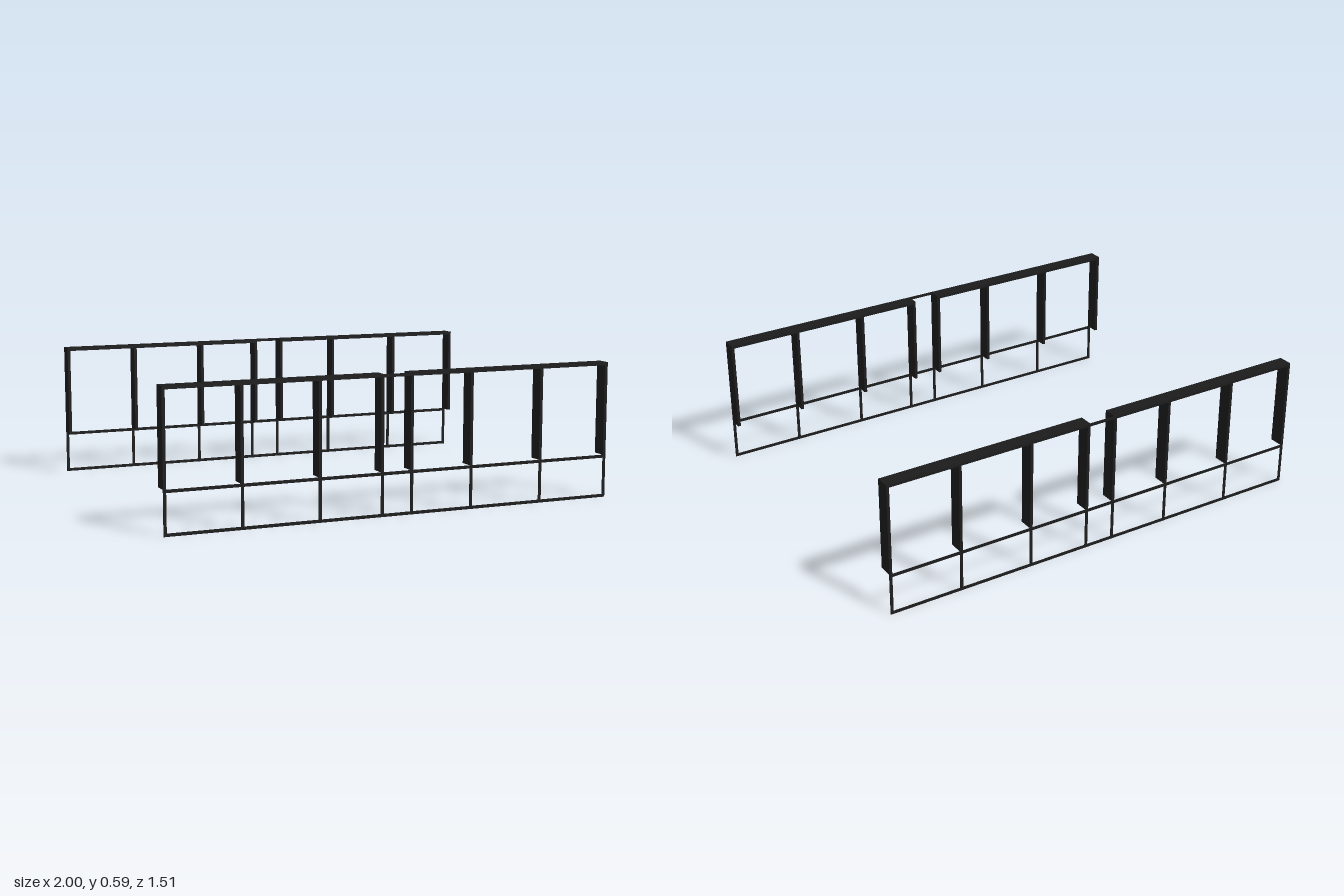
import * as THREE from 'three';

export function createModel() {
  const model = new THREE.Group();
  model.name = 'windowFrames';
  const darkMetal = new THREE.MeshStandardMaterial({ color: 0x1c1c1c });
  darkMetal.name = 'darkMetal';

  const BAR = 0.013;             // width of every bar
  const TOP = 0.589, SILL = 0.186; // top edge and fin foot
  const OUTER = 0.757, DEPTH = 0.063, THIN = 0.003;
  const posts = [-0.9935, -0.674, -0.342, -0.0665, 0.0665, 0.342, 0.674, 0.9935];

  // Box given by its limits on each axis
  function bar(parent, name, x0, x1, y0, y1, z0, z1) {
    const mesh = new THREE.Mesh(new THREE.BoxGeometry(x1 - x0, y1 - y0, z1 - z0), darkMetal);
    mesh.position.set((x0 + x1) / 2, (y0 + y1) / 2, (z0 + z1) / 2);
    mesh.name = name;
    parent.add(mesh);
  }

  function frame(name) {
    const g = new THREE.Group();
    g.name = name;
    const face = OUTER - THIN, inner = OUTER - DEPTH;

    // Thin rails on the outer plane
    bar(g, 'bottomRail', -1, 1, 0, BAR, face, OUTER);
    bar(g, 'middleRail', -1, 1, SILL - BAR, SILL, face, OUTER);
    bar(g, 'topLink', -0.06, 0.06, TOP - BAR, TOP, face, OUTER);

    // Deep top beams, one on each side of the central gap
    bar(g, 'topBeamRight', -1, -0.06, TOP - BAR, TOP, inner, OUTER);
    bar(g, 'topBeamLeft', 0.06, 1, TOP - BAR, TOP, inner, OUTER);

    // Deep fins above the middle rail, thin mullions below it
    for (const x of posts) {
      const a = x - BAR / 2, b = x + BAR / 2;
      bar(g, 'fin', a, b, SILL, TOP - BAR, inner, OUTER);
      bar(g, 'lowerMullion', a, b, BAR, SILL - BAR, face, OUTER);
    }
    return g;
  }

  // Matching frames facing outwards at front and back
  const back = frame('backFrame');
  back.rotation.y = Math.PI;
  model.add(frame('frontFrame'), back);
  return model;
}
